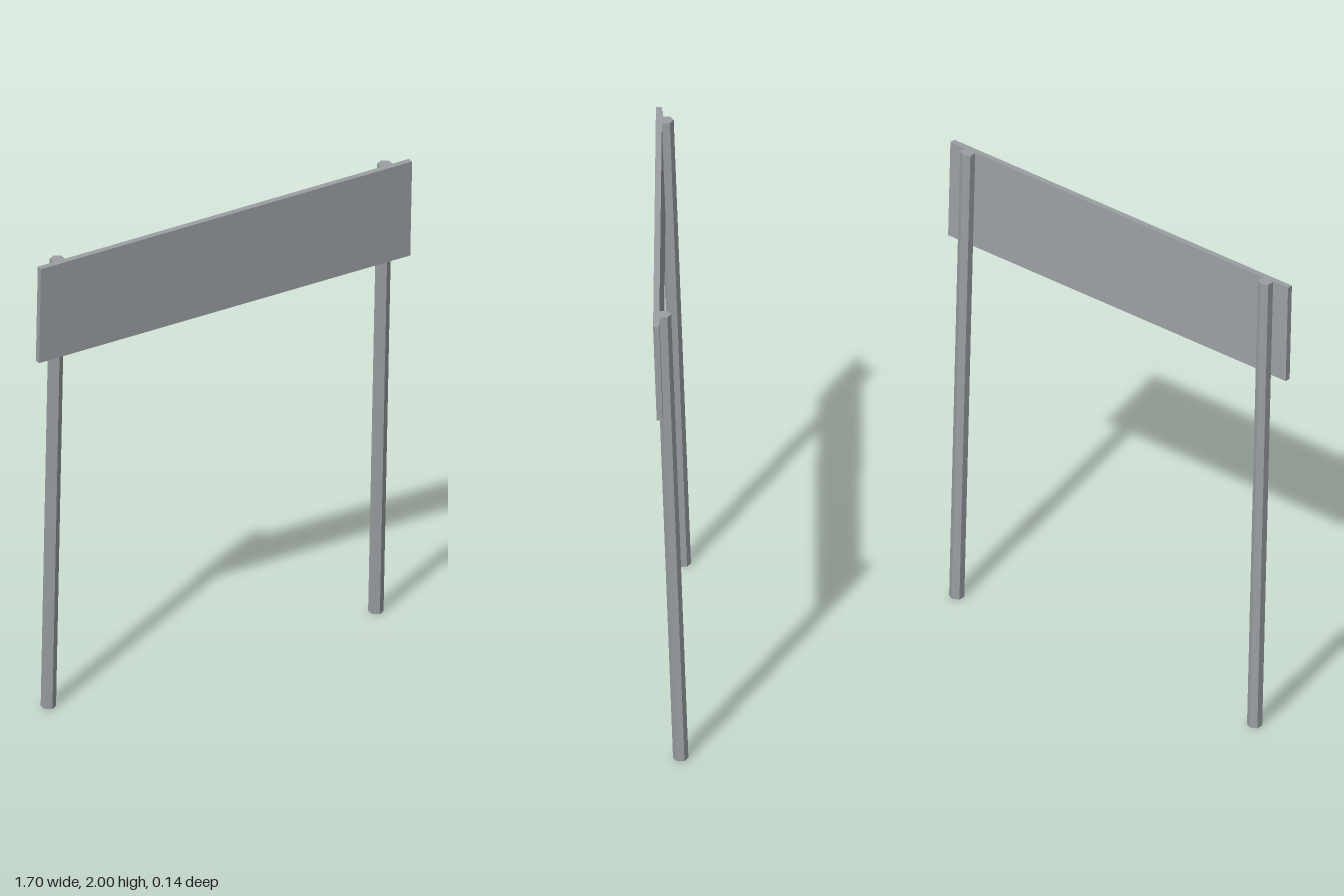
import * as THREE from 'three';

export function createModel() {
  const metal = new THREE.MeshStandardMaterial({ color: 0x9a9fa2, flatShading: true });
  metal.name = 'grey metal';
  const model = new THREE.Group();
  model.name = 'signboard';

  // Everything leans slightly forward as one piece
  const frame = new THREE.Group();
  frame.name = 'leaningFrame';
  frame.position.set(0, 1, -0.005);
  frame.rotation.x = 0.0335;
  model.add(frame);

  // Two hexagonal posts
  const postGeometry = new THREE.CylinderGeometry(0.03, 0.03, 1.999, 6);
  for (const [name, x] of [['leftPost', 0.75], ['rightPost', -0.75]]) {
    const post = new THREE.Mesh(postGeometry, metal);
    post.name = name;
    post.position.x = x;
    frame.add(post);
  }

  // Flat panel across the front of the posts
  const panel = new THREE.Mesh(new THREE.BoxGeometry(1.7, 0.42, 0.024), metal);
  panel.name = 'signPanel';
  panel.position.set(0, 0.7905, 0.028);
  frame.add(panel);

  return model;
}
